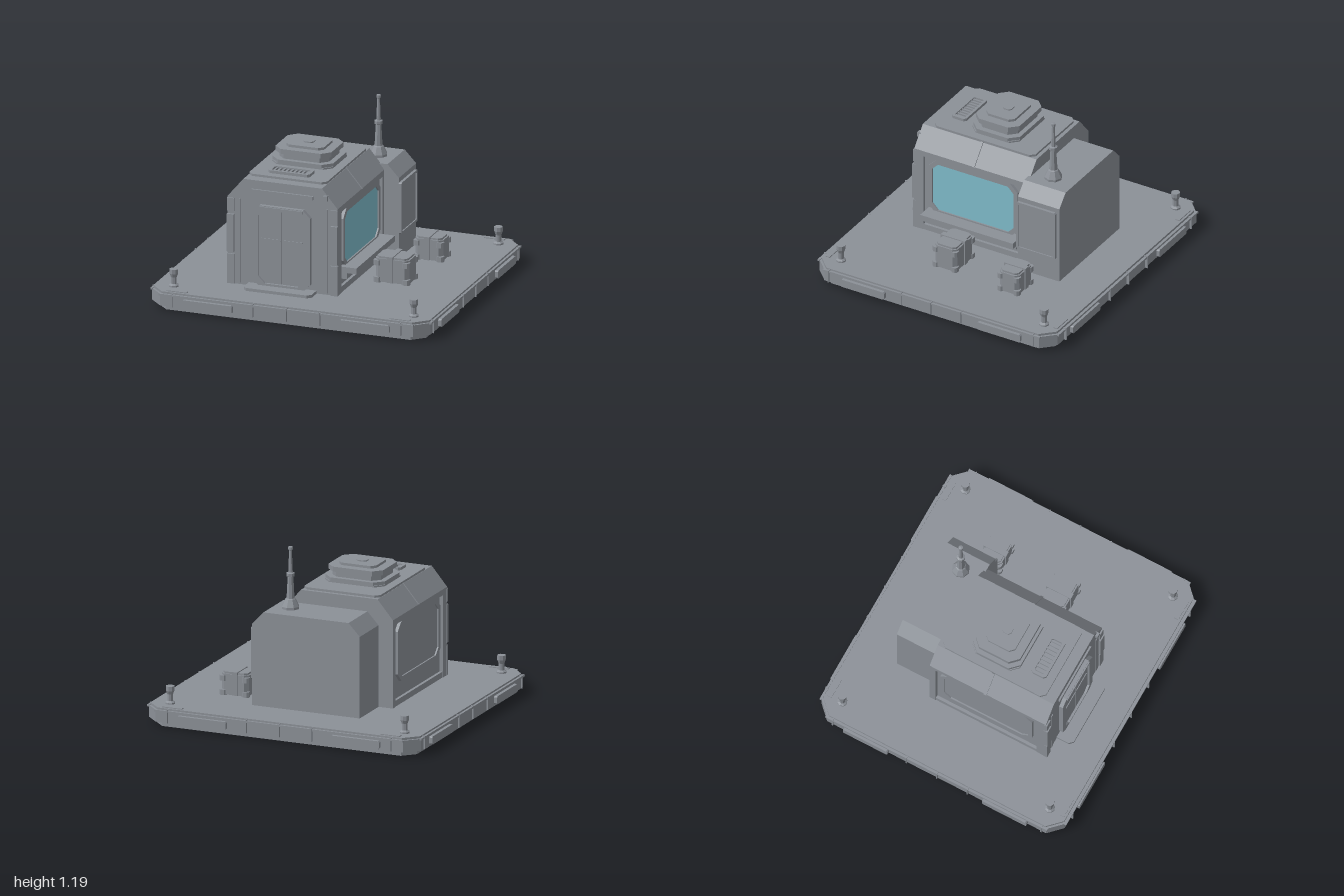
import * as THREE from 'three';

const grey = new THREE.MeshStandardMaterial({ color: 0x8b9097, flatShading: true });
grey.name = 'hullGrey';
const blue = new THREE.MeshStandardMaterial({ color: 0x7fbccb, flatShading: true });
blue.name = 'windowBlue';

const CX = -0.153; // middle of the cabin

function add(parent, name, geo, x, y, z, mat = grey) {
  const mesh = new THREE.Mesh(geo, mat);
  mesh.name = name;
  mesh.position.set(x, y, z);
  parent.add(mesh);
  return mesh;
}

// Box given by its limits
function box(parent, name, x0, x1, y0, y1, z0, z1) {
  const geo = new THREE.BoxGeometry(x1 - x0, y1 - y0, z1 - z0);
  return add(parent, name, geo, (x0 + x1) / 2, (y0 + y1) / 2, (z0 + z1) / 2);
}

// Corner points of a rectangle with cut corners
function cutRect(w, h, c) {
  const a = w / 2, b = h / 2;
  return [[a - c, -b], [a, c - b], [a, b - c], [a - c, b], [c - a, b], [-a, b - c], [-a, c - b], [c - a, -b]]
    .map(([x, y]) => new THREE.Vector2(x, y));
}

// Centred plate with cut corners, facing an axis, with an optional opening [w, h, cut]
function plate(w, h, d, c, axis = 'z', hole = null) {
  const shape = new THREE.Shape(cutRect(w, h, c));
  if (hole) shape.holes.push(new THREE.Path(cutRect(...hole)));
  const geo = new THREE.ExtrudeGeometry(shape, { depth: d, bevelEnabled: false });
  geo.translate(0, 0, -d / 2);
  if (axis === 'x') geo.rotateY(Math.PI / 2);
  if (axis === 'y') geo.rotateX(-Math.PI / 2);
  return geo;
}

// Wall outline with sloped shoulders, extruded from z0 to z1
function hall(parent, name, cx, half, top, eave, flat, z0, z1) {
  const s = new THREE.Shape([[-half, 0.12], [half, 0.12], [half, eave], [flat, top], [-flat, top], [-half, eave]]
    .map(([x, y]) => new THREE.Vector2(x, y)));
  const geo = new THREE.ExtrudeGeometry(s, { depth: z1 - z0, bevelEnabled: false });
  return add(parent, name, geo, cx, 0, z0);
}

function group(parent, name) {
  const g = new THREE.Group();
  g.name = name;
  parent.add(g);
  return g;
}

function buildPlatform(root) {
  const g = group(root, 'platform');
  add(g, 'platformFoot', plate(1.87, 1.74, 0.035, 0.08, 'y'), 0, 0.0175, -0.005);
  add(g, 'platformBody', plate(1.95, 1.81, 0.08, 0.09, 'y'), 0, 0.075, -0.005);
  add(g, 'platformDeck', plate(1.93, 1.79, 0.015, 0.09, 'y'), 0, 0.1225, -0.005);
  for (const s of [-1, 1]) {
    const zc = -0.005 + s * 0.91;
    // Raised edge strips, side panels and seam ribs
    box(g, 'edgeStrip', -0.89, 0.89, 0.107, 0.12, zc - 0.008, zc + 0.008);
    box(g, 'edgeStrip', s * 0.975 - 0.008, s * 0.975 + 0.008, 0.107, 0.12, -0.83, 0.82);
    for (const t of [-1, 1]) {
      add(g, 'sidePanel', plate(0.35, 0.055, 0.035, 0.008), t * 0.55, 0.07, zc);
      add(g, 'sidePanel', plate(0.33, 0.055, 0.035, 0.008, 'x'), s * 0.98, 0.07, -0.008 + t * 0.517);
    }
    for (const p of [-0.8, -0.235, 0, 0.235, 0.8]) {
      box(g, 'seamRib', p - 0.004, p + 0.004, 0.035, 0.125, zc - 0.012, zc + 0.012);
      box(g, 'seamRib', s * 0.975 - 0.01, s * 0.975 + 0.01, 0.035, 0.125, p * 0.97 - 0.004, p * 0.97 + 0.004);
    }
    // Corner posts
    const pts = [[0, 0.12], [0.034, 0.12], [0.034, 0.14], [0.02, 0.15], [0.02, 0.195], [0.03, 0.22], [0.03, 0.25], [0, 0.25]];
    const post = new THREE.LatheGeometry(pts.map(p => new THREE.Vector2(...p)), 8);
    for (const z of [-0.78, 0.765]) {
      add(g, 'cornerPost', post, s * 0.84, 0, z);
      const edge = z < 0 ? -0.87 : 0.86;
      box(g, 'cornerTread', s * 0.78 - 0.07, s * 0.78 + 0.07, 0.128, 0.136, edge - 0.015, edge + 0.015);
    }
  }
}

function buildCabin(root) {
  const g = group(root, 'cabin');
  hall(g, 'cabinWalls', CX, 0.362, 0.85, 0.72, 0.27, -0.28, 0.565);
  hall(g, 'frontFrame', CX, 0.385, 0.86, 0.73, 0.275, 0.5, 0.57);
  hall(g, 'rearFrame', CX, 0.385, 0.86, 0.73, 0.275, -0.295, -0.25);
  // Roof shell with sloped shoulders
  const roof = new THREE.Shape([[-0.385, 0.69], [0.385, 0.69], [0.385, 0.73], [0.275, 0.86], [-0.275, 0.86], [-0.385, 0.73]]
    .map(p => new THREE.Vector2(...p)));
  add(g, 'roofShell', new THREE.ExtrudeGeometry(roof, { depth: 0.8, bevelEnabled: false }), CX, 0, -0.26);
  add(g, 'roofPlate', plate(0.545, 0.765, 0.02, 0.03, 'y'), CX, 0.865, 0.113);

  // Side walls: a window on the left, a closed panel on the right
  for (const s of [-1, 1]) {
    const x = d => CX + s * d;
    add(g, 'windowSurround', plate(0.68, 0.41, 0.024, 0.06, 'x', [0.62, 0.35, 0.045]), x(0.372), 0.485, 0.125);
    add(g, s > 0 ? 'windowPane' : 'wallPanel', plate(0.63, 0.36, 0.008, 0.045, 'x'), x(0.37), 0.485, 0.125, s > 0 ? blue : grey);
    box(g, 'wallSill', x(0.37) - 0.012, x(0.37) + 0.012, 0.13, 0.17, -0.25, 0.5);
    const rib = box(g, 'shoulderRib', x(0.33) - 0.088, x(0.33) + 0.088, 0.79, 0.802, 0.11, 0.13);
    rib.rotation.z = -s * 0.868;
    // Front corner posts in two lengths
    box(g, 'cornerGuard', x(0.362) - 0.025, x(0.362) + 0.025, 0.35, 0.61, 0.555, 0.585);
    box(g, 'cornerGuard', x(0.362) - 0.025, x(0.362) + 0.025, 0.63, 0.72, 0.555, 0.58);
    box(g, 'cornerGuard', x(0.362) - 0.025, x(0.362) + 0.025, 0.13, 0.335, 0.555, 0.58);
    box(g, 'frontBatten', x(0.305) - 0.012, x(0.305) + 0.012, 0.14, 0.72, 0.565, 0.575);
  }

  // Counter below the window
  box(g, 'counterTop', 0.2, 0.325, 0.26, 0.3, -0.235, 0.47);
  box(g, 'counterApron', 0.2, 0.25, 0.21, 0.265, -0.215, 0.45);

  // Doorway
  add(g, 'doorFrame', plate(0.405, 0.56, 0.035, 0.05, 'z', [0.32, 0.51, 0.045]), CX, 0.42, 0.58);
  for (const s of [-1, 1]) {
    const leaf = new THREE.Shape([[0.004, -0.255], [0.115, -0.255], [0.16, -0.21], [0.16, 0.21], [0.115, 0.255], [0.004, 0.255]]
      .map(([x, y]) => new THREE.Vector2(s * x, y)));
    add(g, 'doorLeaf', new THREE.ExtrudeGeometry(leaf, { depth: 0.02, bevelEnabled: false }), CX, 0.42, 0.562);
    box(g, 'doorRail', CX + s * 0.075 - 0.068, CX + s * 0.075 + 0.068, 0.465, 0.473, 0.58, 0.587);
  }
  add(g, 'doorStep', plate(0.475, 0.14, 0.022, 0.025, 'y'), CX, 0.139, 0.615);
  box(g, 'frontBand', CX - 0.215, CX + 0.215, 0.775, 0.8, 0.56, 0.582);
  box(g, 'doorHood', CX - 0.15, CX + 0.15, 0.675, 0.695, 0.59, 0.606);
  box(g, 'frontLamp', 0.135, 0.165, 0.78, 0.815, 0.56, 0.588);

  // Stacked roof hatch
  const layers = [
    [0.425, 0.355, 0.872, 0.885, 0.05], [0.425, 0.355, 0.885, 0.907, 0.06], [0.35, 0.29, 0.9, 0.95, 0.05],
    [0.39, 0.33, 0.945, 0.978, 0.055], [0.265, 0.215, 0.975, 0.995, 0.03], [0.07, 0.065, 0.99, 1.003, 0.015]];
  for (const [w, d, y0, y1, c] of layers)
    add(g, 'hatchLayer', plate(w, d, y1 - y0, c, 'y'), CX, (y0 + y1) / 2, 0.08);

  // Roof vent
  add(g, 'ventFrame', plate(0.29, 0.11, 0.022, 0.015, 'y', [0.25, 0.075, 0.008]), CX - 0.01, 0.883, 0.385);
  for (let i = 0; i < 9; i++)
    box(g, 'ventSlat', CX - 0.128 + i * 0.028, CX - 0.116 + i * 0.028, 0.87, 0.887, 0.347, 0.423);
}

function buildAnnex(root) {
  const g = group(root, 'annex');
  hall(g, 'annexWalls', -0.05, 0.385, 0.77, 0.685, 0.305, -0.595, -0.28);
  add(g, 'annexPanel', plate(0.295, 0.355, 0.022, 0.008, 'x', [0.265, 0.325, 0.005]), 0.343, 0.475, -0.425);
  box(g, 'annexPanelFill', 0.33, 0.346, 0.31, 0.64, -0.56, -0.29);
  // Antenna
  const mast = [[0, 0.76], [0.06, 0.76], [0.06, 0.785], [0.035, 0.835], [0.028, 0.84], [0.02, 0.985], [0.029, 0.99],
    [0.029, 1.01], [0.016, 1.015], [0.01, 1.165], [0.016, 1.17], [0.016, 1.187], [0, 1.19]];
  add(g, 'antenna', new THREE.LatheGeometry(mast.map(p => new THREE.Vector2(...p)), 8), 0.135, 0, -0.43);
}

// Storage crate with a strap and corner guards
function buildCrate(root, x, z, w, d, h) {
  const g = group(root, 'crate');
  g.position.set(x, 0.13, z);
  add(g, 'crateBody', plate(w - 0.015, d - 0.015, h - 0.01, 0.025, 'y'), 0, (h - 0.01) / 2 + 0.005, 0);
  add(g, 'crateLid', plate(w - 0.035, d - 0.035, 0.015, 0.02, 'y'), 0, h, 0);
  box(g, 'crateStrap', -0.026, 0.012, 0.005, h + 0.014, -d / 2, d / 2);
  for (const sx of [-1, 1]) for (const sz of [-1, 1]) for (const y of [0.018, h - 0.035])
    add(g, 'crateCorner', plate(0.05, 0.045, 0.036, 0.012, 'y'), sx * (w / 2 - 0.025), y, sz * (d / 2 - 0.022));
}

export function createModel() {
  const root = new THREE.Group();
  root.name = 'outpost';
  buildPlatform(root);
  buildCabin(root);
  buildAnnex(root);
  buildCrate(root, 0.47, 0.128, 0.25, 0.185, 0.17);
  buildCrate(root, 0.53, -0.378, 0.21, 0.165, 0.15);
  return root;
}
